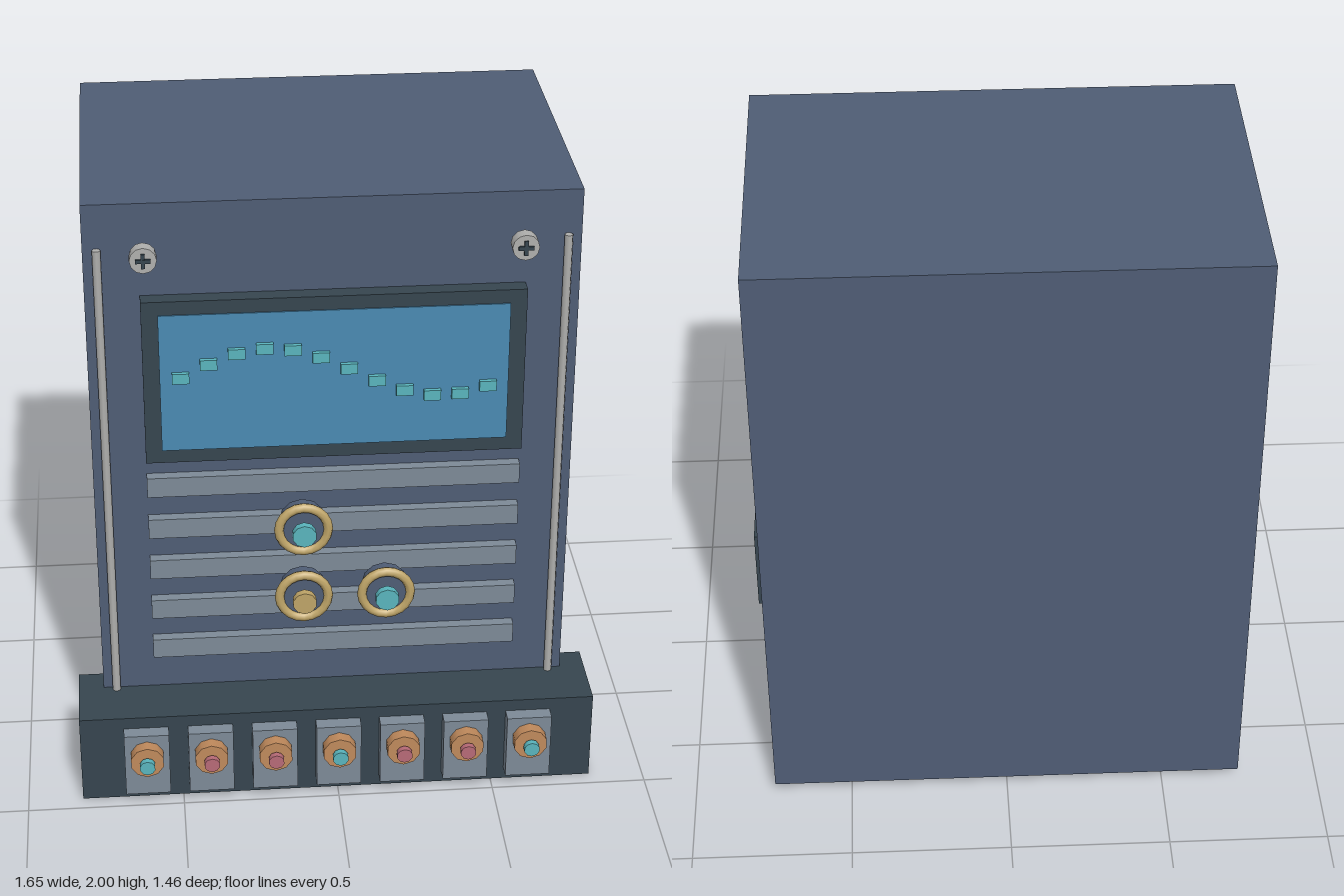
import * as THREE from 'three';

const mat = (name, color) => {
  const m = new THREE.MeshStandardMaterial({ color });
  m.name = name;
  return m;
};

export function createModel() {
  const root = new THREE.Group();
  root.name = 'instrumentCabinet';

  const slate = mat('slate', 0x4f5d75);
  const charcoal = mat('charcoal', 0x36454f);
  const glass = mat('screenBlue', 0x4a8ab2);
  const teal = mat('teal', 0x5ab5bd);
  const red = mat('dustyRed', 0xb86b77);
  const copper = mat('copper', 0xc08a5c);
  const gold = mat('brass', 0xbfa568);
  const steel = mat('steel', 0xb0b0ae);
  const grey = mat('panelGrey', 0x7d8a97);

  const add = (parent, name, geometry, material, x, y, z) => {
    const m = new THREE.Mesh(geometry, material);
    m.name = name;
    m.position.set(x, y, z);
    parent.add(m);
    return m;
  };
  // Box centred on x, y and spanning z0..z1
  const box = (parent, name, w, h, z0, z1, material, x, y) =>
    add(parent, name, new THREE.BoxGeometry(w, h, z1 - z0), material, x, y, (z0 + z1) / 2);
  // Cylinder facing the front, spanning z0..z1
  const disc = (parent, name, r, z0, z1, sides, material, x, y) =>
    add(parent, name, new THREE.CylinderGeometry(r, r, z1 - z0, sides).rotateX(Math.PI / 2),
      material, x, y, (z0 + z1) / 2);
  const group = (name) => {
    const g = new THREE.Group();
    g.name = name;
    root.add(g);
    return g;
  };

  // Main body and base plinth
  box(root, 'cabinet', 1.49, 1.96, -0.73, 0.268, slate, 0, 1.02);
  box(root, 'base', 1.65, 0.305, 0.188, 0.45, charcoal, 0, 0.1525);

  // Edge rails and corner screws
  for (const side of [-1, 1]) {
    add(root, 'edgeRail', new THREE.CylinderGeometry(0.0128, 0.0128, 1.6, 8),
      steel, side * 0.703, 1.06, 0.28);
    const screw = group('screw');
    const x = side * 0.567, y = 1.845;
    disc(screw, 'screwHead', 0.041, 0.293, 0.334, 12, steel, x, y);
    box(screw, 'screwSlot', 0.046, 0.012, 0.333, 0.341, charcoal, x, y);
    box(screw, 'screwSlot', 0.012, 0.046, 0.333, 0.3405, charcoal, x, y);
  }

  // Display with a dotted wave trace
  const display = group('display');
  box(display, 'displayFrame', 1.16, 0.545, 0.268, 0.319, charcoal, 0, 1.43);
  box(display, 'screen', 1.06, 0.457, 0.317, 0.323, glass, 0, 1.43);
  for (let i = 0; i < 12; i++) {
    box(display, 'traceDot', 0.052, 0.034, 0.32, 0.337, teal,
      -0.467 + i * 0.0849, 1.452 + 0.09 * Math.sin(i * 0.5));
  }

  // Ventilation louvres
  for (let i = 0; i < 5; i++) {
    box(root, 'louvre', 1.16, 0.067, 0.266, 0.303, grey, 0, 1.06 - i * 0.148);
  }

  // Control knobs standing off the panel
  for (const [x, y, cap] of [[-0.124, 1.118, teal], [-0.124, 0.885, gold], [0.124, 0.885, teal]]) {
    const knob = group('knob');
    disc(knob, 'knobBody', 0.069, 0.625, 0.688, 12, slate, x, y);
    add(knob, 'knobRing', new THREE.TorusGeometry(0.073, 0.0145, 8, 20), gold, x, y, 0.685);
    disc(knob, 'knobCap', 0.036, 0.706, 0.73, 10, cap, x, y);
  }

  // Row of socket modules on the base
  for (let i = 0; i < 7; i++) {
    const socket = group('socket');
    const x = (i - 3) * 0.2045;
    box(socket, 'socketPlate', 0.143, 0.223, 0.448, 0.496, grey, x, 0.154);
    disc(socket, 'socketNut', 0.054, 0.494, 0.536, 10, copper, x, 0.19);
    disc(socket, 'socketPin', 0.025, 0.545, 0.566, 10, i % 3 === 0 ? teal : red, x, 0.19);
  }

  return root;
}
